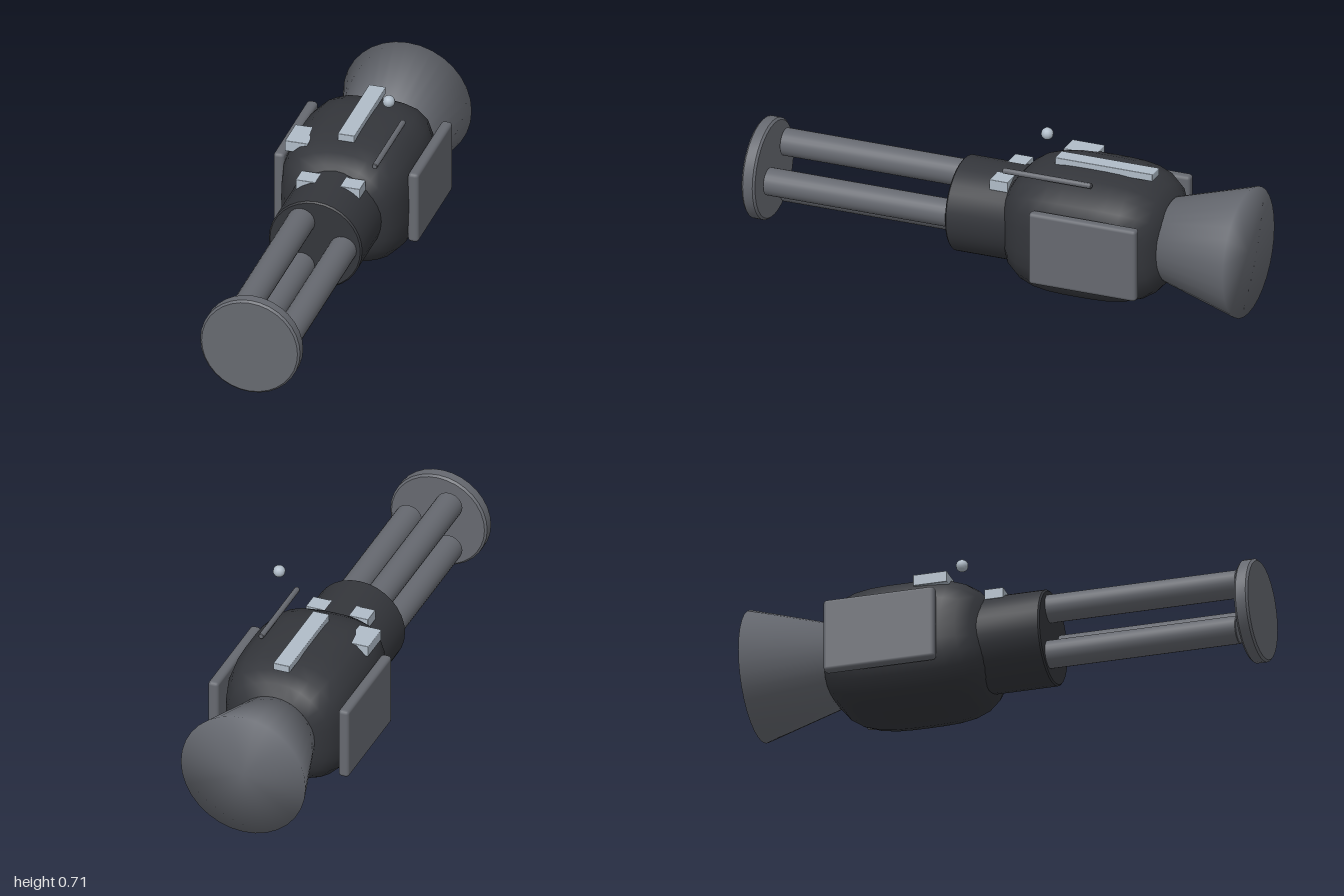
import * as THREE from 'three';
import { toCreasedNormals } from 'three/addons/utils/BufferGeometryUtils.js';
import { RoundedBoxGeometry } from 'three/addons/geometries/RoundedBoxGeometry.js';

const AXIS_Y = 0.26; // height of the long axis
const dark = new THREE.MeshStandardMaterial({ color: 0x34363b });
const grey = new THREE.MeshStandardMaterial({ color: 0x666970 });
const light = new THREE.MeshStandardMaterial({ color: 0xb0bcc8 });

export function createModel() {
  const model = new THREE.Group();

  function add(name, geometry, material, x, y, z) {
    const mesh = new THREE.Mesh(geometry, material);
    mesh.name = name;
    mesh.position.set(x, y, z);
    model.add(mesh);
    return mesh;
  }

  // Block given by its extents on each axis
  function block(name, material, [x0, x1], [y0, y1], [z0, z1], radius) {
    const geometry = new RoundedBoxGeometry(x1 - x0, y1 - y0, z1 - z0, 2, radius);
    add(name, geometry, material, (x0 + x1) / 2, (y0 + y1) / 2, (z0 + z1) / 2);
  }

  // Turned shape along z; profile runs from back to front as [radius, z]
  function turned(profile, sides) {
    const points = profile.map(([r, z]) => new THREE.Vector2(r, z));
    return new THREE.LatheGeometry(points, sides).rotateX(Math.PI / 2);
  }

  // Cylinder along z with a small bevel on both rims
  function bevelled(r, z0, z1, b, sides) {
    const profile = [[0, z0], [r - b, z0], [r, z0 + b], [r, z1 - b], [r - b, z1], [0, z1]];
    return toCreasedNormals(turned(profile, sides), 0.6);
  }

  // Main body: box rounded into a soft superellipsoid
  const body = new THREE.SphereGeometry(1, 28, 20).rotateX(Math.PI / 2);
  const pos = body.attributes.position;
  const n = 3.3;
  for (let i = 0; i < pos.count; i++) {
    const p = new THREE.Vector3().fromBufferAttribute(pos, i);
    const k = (Math.abs(p.x) ** n + Math.abs(p.y) ** n + Math.abs(p.z) ** n) ** (-1 / n);
    pos.setXYZ(i, p.x * k * 0.257, p.y * k * 0.248, p.z * k * 0.338);
  }
  add('body', toCreasedNormals(body, Math.PI), dark, 0, AXIS_Y, -0.375);

  // Collar and the three rods leading to the front disc
  add('collar', bevelled(0.185, -0.12, 0.17, 0.006, 32), dark, 0, AXIS_Y, 0);
  for (let i = 0; i < 3; i++) {
    const a = (i * Math.PI * 2) / 3;
    add('rod', bevelled(0.054, 0.1, 0.925, 0.003, 24), grey,
      0.11 * Math.cos(a), AXIS_Y + 0.11 * Math.sin(a), 0);
  }
  add('frontDisc', bevelled(0.198, 0.945, 1, 0.008, 32), grey, 0, AXIS_Y, 0);

  // Flared rear, smooth shaded over its closed end
  add('rearFlare', turned([[0, -1], [0.255, -1], [0.165, -0.69], [0, -0.69]], 32),
    grey, 0, AXIS_Y, 0);

  // Mirrored side panels and collar blocks
  for (const s of [-1, 1]) {
    const span = (a, b) => (s > 0 ? [a, b] : [-b, -a]);
    block('sidePanel', grey, span(0.245, 0.288), [0.11, 0.405], [-0.655, -0.215], 0.014);
    block('collarBlock', light, span(0.045, 0.127), [0.395, 0.437], [-0.065, 0.01], 0.002);
  }

  // Top fittings
  block('topStrip', light, [-0.033, 0.033], [0.5, 0.53], [-0.62, -0.22], 0.003);
  block('shoulderBlock', light, [-0.23, -0.14], [0.442, 0.487], [-0.315, -0.182], 0.003);
  add('antennaRod', bevelled(0.011, -0.425, -0.062, 0.002, 12), grey, 0.163, 0.503, 0);
  add('antennaBall', new THREE.SphereGeometry(0.024, 12, 8), light, 0.163, 0.69, -0.243);

  return model;
}
